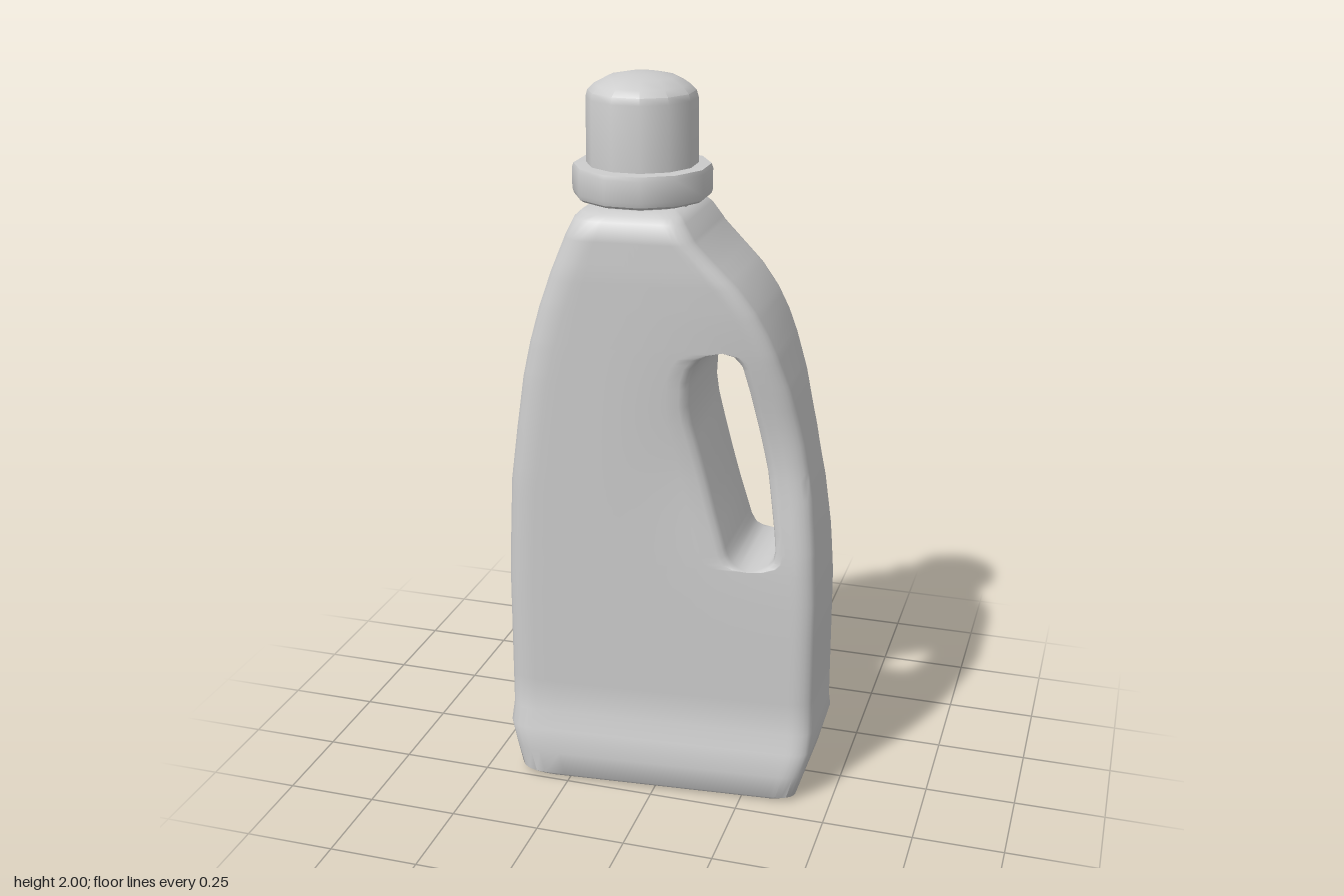
import * as THREE from 'three';
import { toCreasedNormals } from 'three/addons/utils/BufferGeometryUtils.js';

// Piecewise-linear lookup in a list of [y, value]
function at(table, y) {
  if (y <= table[0][0]) return table[0][1];
  for (let i = 1; i < table.length; i++) {
    const [y0, v0] = table[i - 1], [y1, v1] = table[i];
    if (y <= y1) return v0 + (v1 - v0) * (y - y0) / (y1 - y0);
  }
  return table[table.length - 1][1];
}

// Outlines of the bottle, by height
const LEFT = [[0, -0.385], [0.015, -0.405], [0.15, -0.438], [0.2, -0.438], [0.6, -0.436], [0.75, -0.43], [0.9, -0.422],
  [1.05, -0.402], [1.2, -0.38], [1.3, -0.358], [1.4, -0.33], [1.5, -0.295], [1.6, -0.255], [1.64, -0.237], [1.655, -0.222], [1.665, -0.195]];
const RIGHT = [[0, 0.38], [0.015, 0.4], [0.15, 0.436], [0.6, 0.435], [0.75, 0.426], [0.9, 0.41], [1.05, 0.383],
  [1.2, 0.347], [1.3, 0.313], [1.36, 0.288], [1.42, 0.255], [1.48, 0.21], [1.53, 0.16], [1.59, 0.1], [1.64, 0.066], [1.655, 0.052], [1.665, 0.03]];
// Grip opening: its two edges meet below and above it in a common seam
const HOLE_L = [[0, 0.25], [0.69, 0.25], [0.694, 0.225], [0.705, 0.205], [0.73, 0.19], [0.85, 0.155], [1, 0.115], [1.1, 0.088],
  [1.15, 0.08], [1.22, 0.083], [1.26, 0.095], [1.285, 0.115], [1.3, 0.145], [1.31, 0.175], [1.665, -0.085]];
const HOLE_R = [[0, 0.25], [0.69, 0.25], [0.694, 0.275], [0.705, 0.3], [0.72, 0.315], [0.75, 0.32], [0.8, 0.315], [0.97, 0.29],
  [1.1, 0.262], [1.2, 0.24], [1.27, 0.222], [1.3, 0.2], [1.31, 0.175], [1.665, -0.085]];
// Flared foot and rounded shoulder, as a change of half depth
const FLARE = [[0, 0.015], [0.015, 0.032], [0.08, 0.03], [0.15, 0.024], [0.2, 0], [1.5, -0.003], [1.6, -0.008], [1.64, -0.02], [1.655, -0.035], [1.665, -0.06]];

const ROWS = [...new Set([LEFT, RIGHT, HOLE_L, HOLE_R, FLARE].flat().map(p => p[0])
  .concat([0.3, 0.4, 0.5, 0.65, 0.8, 0.95]))].sort((a, b) => a - b);

// Half depth: tapers toward the handle, which is pinched at grip height
function depth(x, y) {
  const pinch = 0.042 * Math.exp(-(((y - 1.03) / 0.25) ** 2)) * THREE.MathUtils.smoothstep(x, -0.15, 0.36);
  return 0.217 - 0.062 * (x + 0.34) / 0.71 + at(FLARE, y) - pinch;
}

// Front half of a cross-section, from the outer edge to the grip opening
function halfSection(y, outer, inner, gap, rx, rz) {
  const dir = Math.sign(inner - outer), pts = [];
  const add = (x, drop) => pts.push(new THREE.Vector3(x, y, depth(x, y) - drop));
  for (let k = 0; k <= 5; k++) {
    const t = k / 5 * Math.PI / 2;
    add(outer + dir * rx * (1 - Math.cos(t)), rz * (1 - Math.sin(t)));
  }
  const e = Math.min(0.022, gap * 0.3);
  const start = outer + dir * rx, end = inner - dir * e;
  for (let k = 1; k <= 10; k++) add(start + (end - start) * k / 10, 0);
  add(inner - dir * e * 0.3, e * 0.3);
  add(inner, e);
  return pts;
}

const back = pts => pts.map(p => new THREE.Vector3(p.x, p.y, -p.z));

// Skin neighbouring rows of points, skipping collapsed triangles
function skin(out, rows) {
  const tri = new THREE.Triangle();
  const face = (a, b, c) => {
    if (tri.set(a, b, c).getArea() > 1e-9) for (const p of [a, b, c]) out.push(p.x, p.y, p.z);
  };
  for (let j = 0; j + 1 < rows.length; j++) {
    for (let i = 0; i + 1 < rows[j].length; i++) {
      const a = rows[j][i], b = rows[j][i + 1], c = rows[j + 1][i + 1], d = rows[j + 1][i];
      face(a, b, c);
      face(a, c, d);
    }
  }
}

function bodyGeometry() {
  const out = [];
  const gapAt = y => at(HOLE_R, y) - at(HOLE_L, y);
  const left = ROWS.map(y => halfSection(y, at(LEFT, y), at(HOLE_L, y), gapAt(y), 0.085, 0.065));
  const right = ROWS.map(y => halfSection(y, at(RIGHT, y), at(HOLE_R, y), gapAt(y), 0.05, 0.033));
  // Outer skins
  skin(out, left.map(s => [...back(s).reverse(), ...s]));
  skin(out, right.map(s => [...s.slice().reverse(), ...back(s)]));
  // Walls inside the grip opening
  const inHole = (s, j) => ROWS[j] > 0.689 && ROWS[j] < 1.311;
  const rim = s => [s[s.length - 1], back(s)[s.length - 1]];
  skin(out, left.filter(inHole).map(rim));
  skin(out, right.filter(inHole).map(s => rim(s).reverse()));
  // Base and shoulder top
  const last = ROWS.length - 1;
  for (const half of [left, right.map(s => s.slice().reverse())]) {
    skin(out, [back(half[0]), half[0]]);
    skin(out, [half[last], back(half[last])]);
  }
  const geo = new THREE.BufferGeometry();
  geo.setAttribute('position', new THREE.Float32BufferAttribute(out, 3));
  return toCreasedNormals(geo, 0.9);
}

export function createModel() {
  const model = new THREE.Group();
  model.name = 'bottle';
  const material = new THREE.MeshStandardMaterial({ color: 0xcccccc });
  const addMesh = (name, geo) => {
    const mesh = new THREE.Mesh(geo, material);
    mesh.name = name;
    model.add(mesh);
    return mesh;
  };

  addMesh('body', bodyGeometry());

  // Twelve-sided turned parts around the spout axis
  const turned = (name, profile) => {
    const geo = new THREE.LatheGeometry(profile.map(p => new THREE.Vector2(...p)), 12, Math.PI / 12);
    addMesh(name, toCreasedNormals(geo, 0.65)).position.x = -0.09;
  };
  turned('neck', [[0.135, 1.64], [0.135, 1.69]]);
  turned('collar', [[0, 1.675], [0.172, 1.675], [0.182, 1.682], [0.186, 1.695], [0.186, 1.75], [0.182, 1.762], [0.145, 1.764]]);
  turned('cap', [[0.148, 1.755], [0.147, 1.935], [0.142, 1.953], [0.125, 1.97], [0.09, 1.988], [0.045, 1.997], [0, 2]]);

  return model;
}
